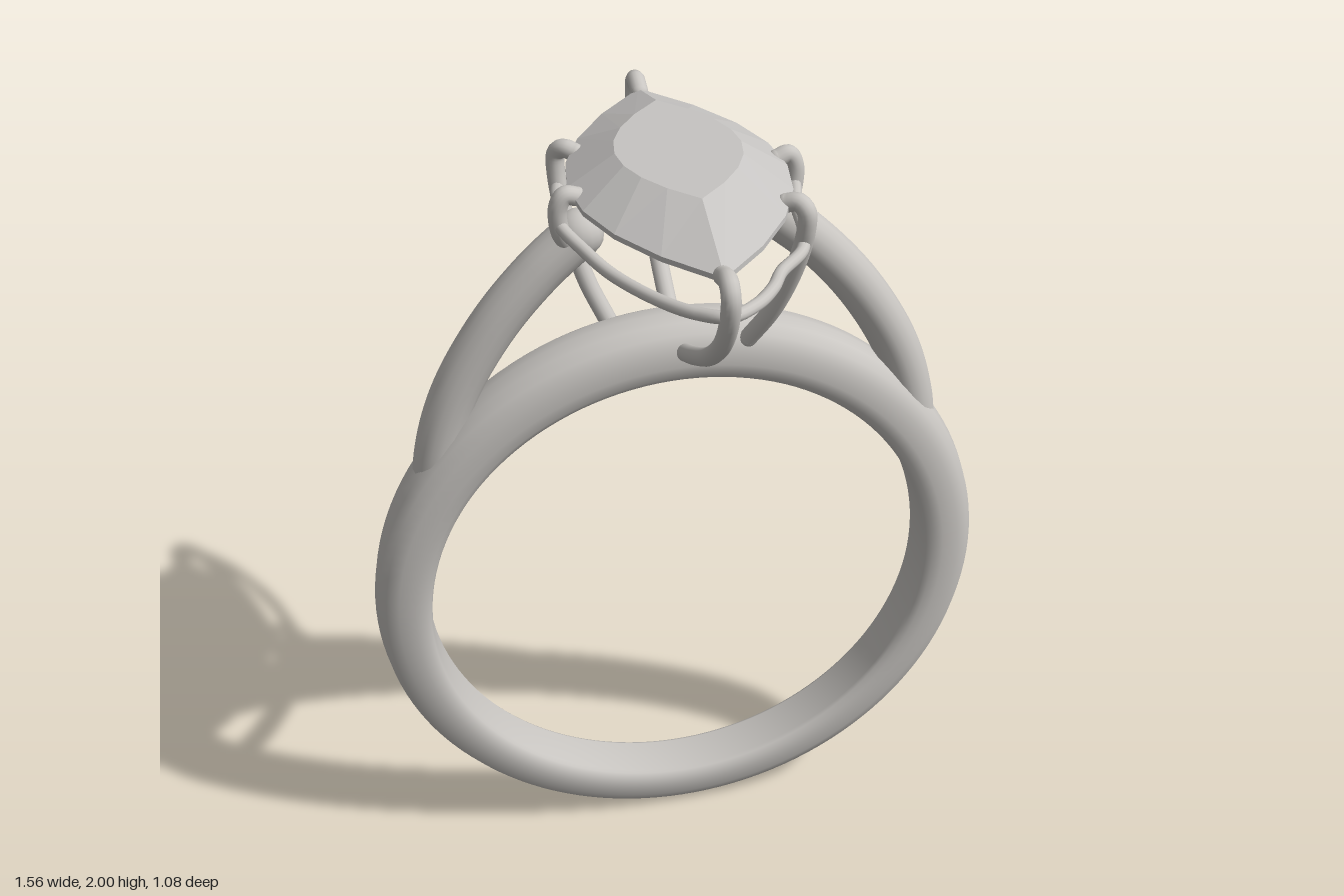
import * as THREE from 'three';
import { mergeGeometries } from 'three/addons/utils/BufferGeometryUtils.js';

const metal = new THREE.MeshStandardMaterial({ color: 0xc8c5c1 });
metal.name = 'silver';
const stone = new THREE.MeshStandardMaterial({ color: 0xc6c4c2 });
stone.name = 'gemGrey';

const toPoints = (list) => list.map((p) => new THREE.Vector3(...p));

function part(name, geometry, material) {
  const mesh = new THREE.Mesh(geometry, material);
  mesh.name = name;
  return mesh;
}

// Smooth wire with rounded ends
function wire(name, list, radius, segments = 48) {
  const pts = toPoints(list);
  const pieces = [new THREE.TubeGeometry(new THREE.CatmullRomCurve3(pts), segments, radius, 16)];
  for (const p of [pts[0], pts[pts.length - 1]]) {
    pieces.push(new THREE.SphereGeometry(radius, 16, 12).translate(p.x, p.y, p.z));
  }
  return part(name, mergeGeometries(pieces), metal);
}

// Finger band: lathed section, thicker and wider towards the top
function band() {
  const half = [[0.645, 0], [0.645, -0.06], [0.65, -0.07], [0.664, -0.081], [0.69, -0.085],
    [0.73, -0.081], [0.76, -0.065], [0.776, -0.038], [0.782, 0]];
  const mirrored = half.slice(0, -1).reverse().map(([r, z]) => [r, -z]);
  const profile = [...half, ...mirrored].map(([r, z]) => new THREE.Vector2(r, z));
  const geo = new THREE.LatheGeometry(profile, 128).rotateX(Math.PI / 2);
  const pos = geo.attributes.position;
  for (let i = 0; i < pos.count; i++) {
    const x = pos.getX(i), y = pos.getY(i);
    const outer = (Math.hypot(x, y) - 0.645) / 0.137;
    const height = (y / 0.782 + 1) / 2;
    pos.setXYZ(i, x, y + 0.775 + 0.012 * outer, pos.getZ(i) * (0.88 + 0.18 * height));
  }
  return part('band', geo, metal);
}

// Marquise stone: pointed oval rows joined by flat facets
function gem() {
  const n = 8;
  const outline = [];
  for (let i = 0; i < 2 * n; i++) {
    const t = 1 - 2 * (i % n) / n;
    const side = i < n ? 1 : -1;
    outline.push([side * 0.255 * (1 - t * t), side * 0.46 * t]);
  }
  // y, x scale, z scale from culet to table
  const rows = [[1.74, 0, 0], [1.82, 0.53, 0.5], [1.915, 1, 1], [1.928, 1, 1], [2, 0.57, 0.53], [2, 0, 0]];
  const corner = ([y, sx, sz], i) => {
    const [x, z] = outline[i % outline.length];
    return [x * sx, y, z * sz];
  };
  const verts = [];
  for (let r = 0; r < rows.length - 1; r++) {
    const low = rows[r], high = rows[r + 1];
    for (let i = 0; i < outline.length; i++) {
      if (low[1] > 0) verts.push(...corner(low, i), ...corner(low, i + 1), ...corner(high, i + 1));
      if (high[1] > 0) verts.push(...corner(low, i), ...corner(high, i + 1), ...corner(high, i));
    }
  }
  const geo = new THREE.BufferGeometry();
  geo.setAttribute('position', new THREE.Float32BufferAttribute(verts, 3));
  geo.computeVertexNormals();
  return part('gem', geo, stone);
}

// Wavy rail that ties the prongs together, the same after a half turn
function rail() {
  const half = [[0, 1.86, 0.505], [0.07, 1.85, 0.455], [0.13, 1.835, 0.37], [0.17, 1.825, 0.29],
    [0.235, 1.83, 0.22], [0.258, 1.84, 0.14], [0.265, 1.85, 0.05], [0.282, 1.86, -0.045],
    [0.245, 1.845, -0.14], [0.2, 1.835, -0.24], [0.12, 1.84, -0.38], [0.06, 1.85, -0.46]];
  const turned = half.map(([x, y, z]) => [-x, y, -z]);
  const curve = new THREE.CatmullRomCurve3(toPoints([...half, ...turned]), true);
  return part('galleryRail', new THREE.TubeGeometry(curve, 160, 0.015, 12, true), metal);
}

// One half of the setting: a shoulder and three prongs
function settingHalf() {
  const group = new THREE.Group();
  group.add(
    wire('shoulder', [[0.608, 1.13, 0], [0.59, 1.27, 0], [0.54, 1.42, 0], [0.44, 1.59, 0],
      [0.33, 1.72, 0], [0.23, 1.81, 0]], 0.057),
    wire('endProng', [[0, 1.5, 0.07], [0, 1.565, 0.19], [0, 1.66, 0.34], [0, 1.77, 0.46],
      [0, 1.86, 0.512], [0, 1.915, 0.518], [0, 1.938, 0.495], [0, 1.925, 0.445]], 0.022),
    wire('sideProng', [[0.155, 1.52, 0.07], [0.2, 1.62, 0.115], [0.237, 1.76, 0.165],
      [0.25, 1.87, 0.195], [0.248, 1.915, 0.196], [0.232, 1.932, 0.182], [0.208, 1.925, 0.168]], 0.022),
    wire('middleProng', [[0.25, 1.78, -0.02], [0.28, 1.84, -0.04], [0.284, 1.905, -0.045],
      [0.268, 1.932, -0.044], [0.24, 1.925, -0.04]], 0.022)
  );
  return group;
}

export function createModel() {
  const ring = new THREE.Group();
  ring.name = 'ring';
  ring.add(band(), gem(), rail());
  for (const [name, turn] of [['leftSetting', 0], ['rightSetting', Math.PI]]) {
    const half = settingHalf();
    half.name = name;
    half.rotation.y = turn;
    ring.add(half);
  }
  return ring;
}
